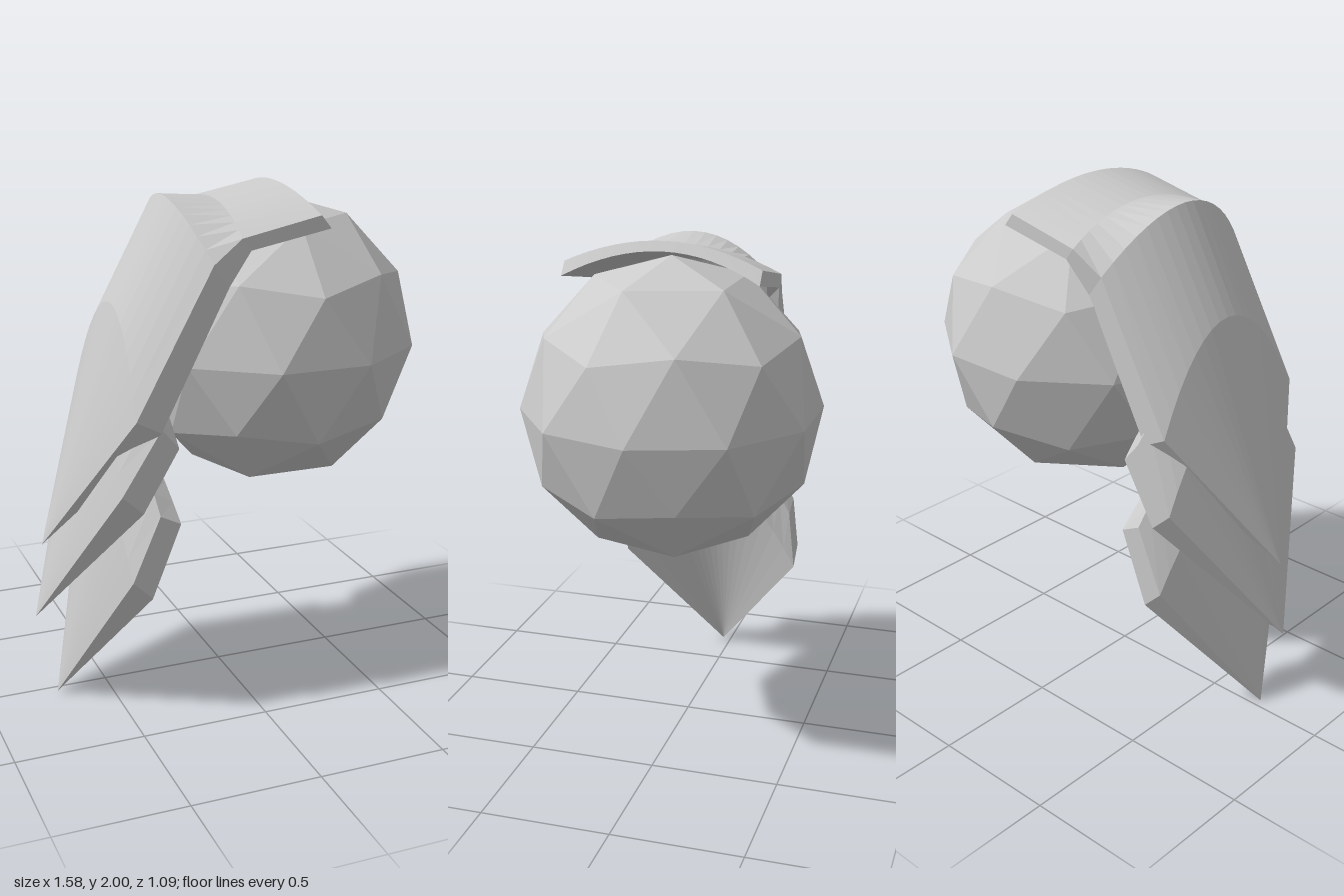
import * as THREE from 'three';

const material = new THREE.MeshStandardMaterial({ color: 0xcccccc, flatShading: true, side: THREE.DoubleSide });
const SEGMENTS = 16;

// Arched slab running through stations and closing in a point.
// Station: outer ridge, outer edge, inner ridge, inner edge (each [x, y]), centre z, half width.
function archedBlade(name, stations, tip) {
  const n = SEGMENTS + 1, ring = 2 * n;
  const positions = [], index = [];
  const addArc = (ridge, edge, zc, w, dir) => {
    for (let j = 0; j < n; j++) {
      const v = dir * (2 * j / SEGMENTS - 1);
      const t = v * v;
      positions.push(
        THREE.MathUtils.lerp(ridge[0], edge[0], t),
        THREE.MathUtils.lerp(ridge[1], edge[1], t),
        zc + w * v);
    }
  };
  for (const [outR, outE, inR, inE, zc, w] of stations) {
    addArc(outR, outE, zc, w, 1);
    addArc(inR, inE, zc, w, -1);
  }
  const tipIndex = positions.length / 3;
  positions.push(...tip);

  // walls, then the fan down to the point
  stations.forEach((_, i) => {
    const last = i === stations.length - 1;
    for (let j = 0; j < ring; j++) {
      const a = i * ring + j, b = i * ring + (j + 1) % ring;
      if (last) index.push(a, tipIndex, b);
      else index.push(a, a + ring, b, b, a + ring, b + ring);
    }
  });
  // flat end at the first station
  for (let j = 0; j < SEGMENTS; j++) {
    const k = ring - 1 - j;
    index.push(j, j + 1, k, j + 1, k - 1, k);
  }
  const geometry = new THREE.BufferGeometry();
  geometry.setAttribute('position', new THREE.Float32BufferAttribute(positions, 3));
  geometry.setIndex(index);
  geometry.computeVertexNormals();
  const mesh = new THREE.Mesh(geometry, material);
  mesh.name = name;
  return mesh;
}

export function createModel() {
  const group = new THREE.Group();
  group.name = 'facetedBallWithLayeredBlades';

  // Faceted ball, turned so a corner sits at each pole
  const ballGeometry = new THREE.IcosahedronGeometry(0.575, 1);
  ballGeometry.rotateZ(-Math.atan(2 / (1 + Math.sqrt(5))));
  ballGeometry.rotateY(-Math.PI / 2);
  const ball = new THREE.Mesh(ballGeometry, material);
  ball.name = 'ball';
  ball.position.set(0.21, 1.375, 0);
  group.add(ball);

  // Long blade that folds over the top of the ball
  group.add(archedBlade('upperBlade', [
    [[0.21, 2.0], [0.24, 1.915], [0.235, 1.965], [0.28, 1.865], 0.03, 0.378],
    [[-0.05, 1.95], [-0.07, 1.85], [-0.03, 1.9], [-0.035, 1.805], 0.03, 0.378],
    [[-0.25, 1.97], [-0.185, 1.765], [-0.19, 1.9], [-0.125, 1.685], 0.05, 0.375],
    [[-0.46, 1.58], [-0.485, 1.22], [-0.4, 1.52], [-0.39, 1.17], 0.055, 0.375],
  ], [-0.755, 0.65, 0.055]));

  // Two shorter blades tucked underneath
  group.add(archedBlade('middleBlade', [
    [[-0.43, 1.48], [-0.385, 1.18], [-0.36, 1.42], [-0.32, 1.1], 0.035, 0.385],
    [[-0.52, 1.29], [-0.54, 0.94], [-0.45, 1.22], [-0.46, 0.865], 0.035, 0.385],
  ], [-0.79, 0.35, 0.05]));
  group.add(archedBlade('lowerBlade', [
    [[-0.43, 1.17], [-0.39, 0.84], [-0.375, 1.12], [-0.31, 0.8], 0.028, 0.378],
    [[-0.52, 0.93], [-0.5, 0.59], [-0.45, 0.86], [-0.425, 0.515], 0.028, 0.378],
  ], [-0.71, 0.0, 0.035]));

  return group;
}
